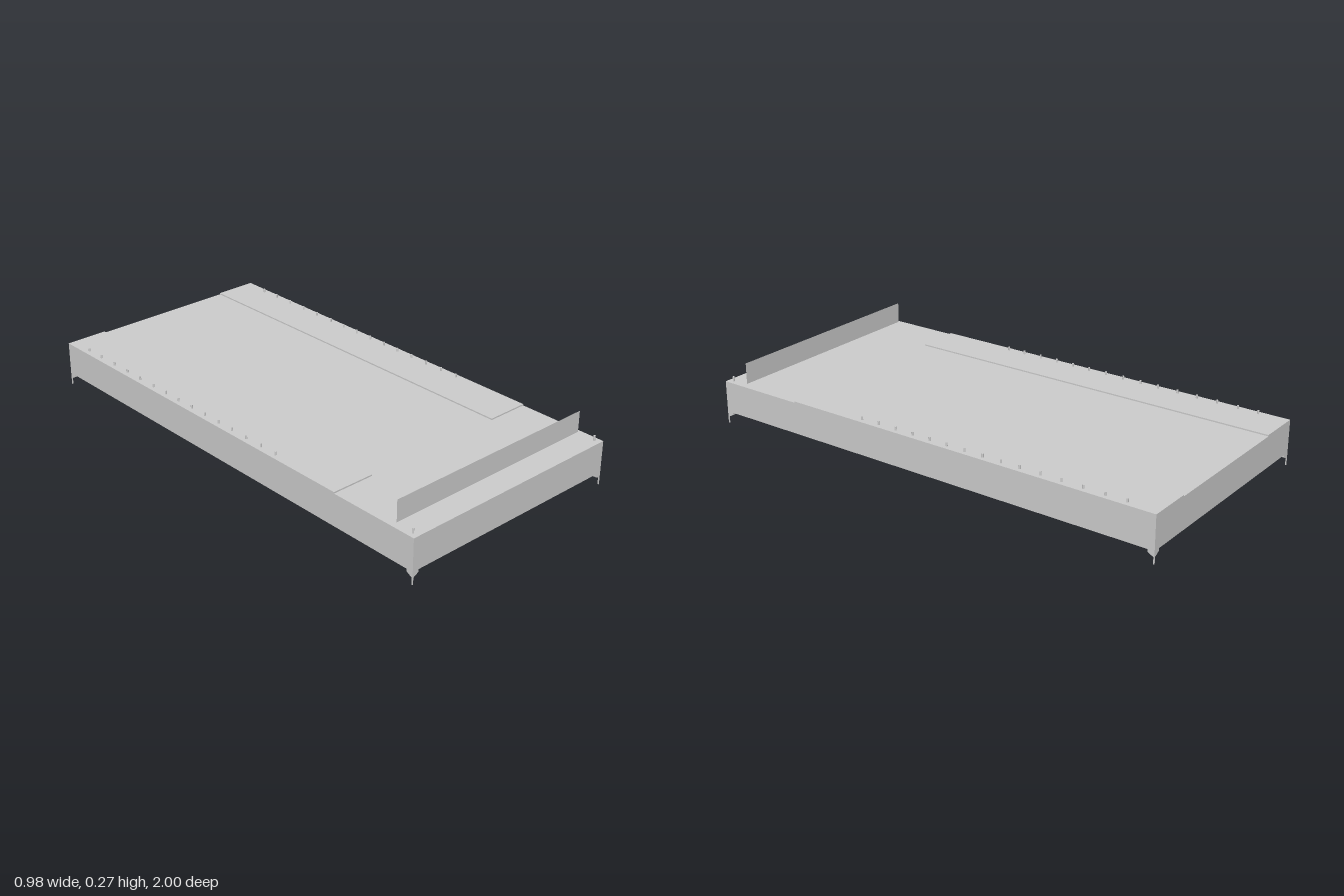
import * as THREE from 'three';

const HALF_W = 0.488, HALF_L = 1, BASE = 0.05, DECK = 0.18, FLAP_TOP = 0.1855;

export function createModel() {
  const group = new THREE.Group();
  const grey = new THREE.MeshStandardMaterial({ color: 0xcccccc, flatShading: true });
  const thin = new THREE.MeshStandardMaterial({ color: 0xcccccc, side: THREE.DoubleSide });

  const add = (name, geometry, x, y, z, material = grey) => {
    const mesh = new THREE.Mesh(geometry, material);
    mesh.name = name;
    mesh.position.set(x, y, z);
    group.add(mesh);
  };

  // Flat deck body
  add('deck', new THREE.BoxGeometry(HALF_W * 2, DECK - BASE, HALF_L * 2), 0, (DECK + BASE) / 2, 0);

  // Thin upright board across the front end, just above the deck
  add('frontBoard', new THREE.PlaneGeometry(0.934, 0.087), 0, 0.229, 0.9, thin);

  // Corner foot: a block tapering to a slim pin at the outer corner
  const footRows = [[0, 0.004], [0.027, 0.004], [0.04, 0.028], [BASE, 0.028]];
  const footGeometry = (sx, sz) => {
    const geometry = new THREE.BoxGeometry(1, 1, 1, 1, 3, 1);
    const p = geometry.attributes.position;
    for (let i = 0; i < p.count; i++) {
      const [y, size] = footRows[Math.round((p.getY(i) + 0.5) * 3)];
      p.setXYZ(i,
        sx * (HALF_W - size / 2) + p.getX(i) * size,
        y,
        sz * (HALF_L - size / 2) + p.getZ(i) * size);
    }
    geometry.computeVertexNormals();
    return geometry;
  };

  // Pegs in a row along each side, plus one at the front corner
  const pegZ = [-0.877, -0.792, -0.702, -0.613, -0.526, -0.438, -0.357, -0.277,
    -0.195, -0.114, -0.034, 0.046, 0.127, 0.21, 0.29, 0.975];
  const pegGeometry = new THREE.CylinderGeometry(0.004, 0.004, 0.02, 12);

  for (const sx of [-1, 1]) {
    // Raised side strip from the back to z = 0.62
    add(sx > 0 ? 'leftStrip' : 'rightStrip',
      new THREE.BoxGeometry(0.178, FLAP_TOP - DECK, 1.62),
      sx * (HALF_W - 0.089), (FLAP_TOP + DECK) / 2, -0.19);
    for (const z of pegZ) add('peg', pegGeometry, sx * 0.467, 0.19, z);
    for (const sz of [-1, 1]) add('foot', footGeometry(sx, sz), 0, 0, 0);
  }
  return group;
}
